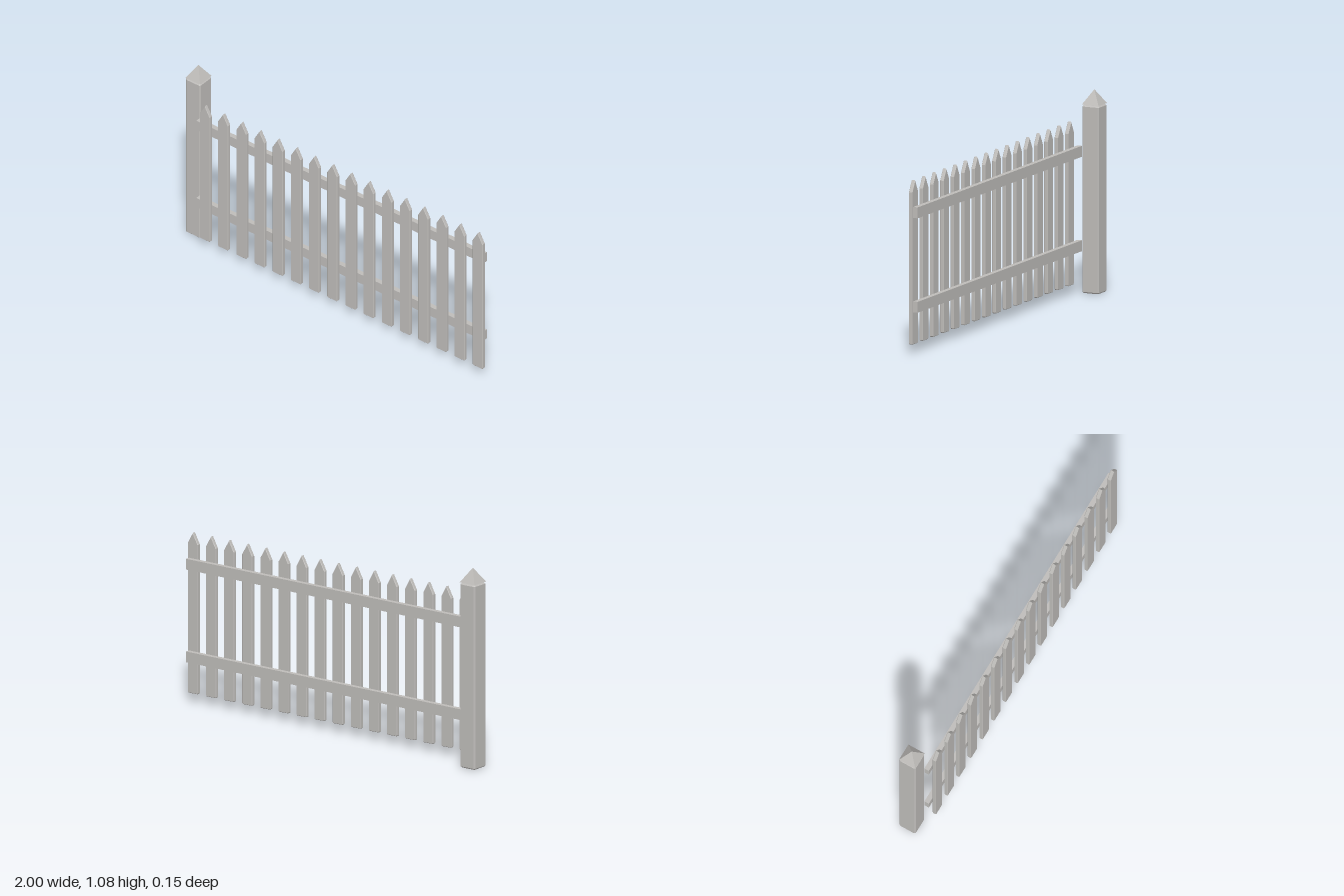
import * as THREE from 'three';

// Extruded outline with a single small chamfer on its end faces, from z = 0 to depth
function chamferedExtrude(points, depth, bevel) {
  const shape = new THREE.Shape(points.map(([x, y]) => new THREE.Vector2(x, y)));
  const geometry = new THREE.ExtrudeGeometry(shape, {
    depth: depth - 2 * bevel,
    bevelEnabled: true,
    bevelThickness: bevel,
    bevelSize: bevel,
    bevelOffset: -bevel,
    bevelSegments: 1,
  });
  return geometry.translate(0, 0, bevel);
}

export function createModel() {
  const group = new THREE.Group();
  group.name = 'picketFence';
  const wood = new THREE.MeshStandardMaterial({ color: 0xbdbbb8, flatShading: true });
  wood.name = 'weatheredGreyWood';

  function add(name, geometry, x, y, z) {
    const mesh = new THREE.Mesh(geometry, wood);
    mesh.name = name;
    mesh.position.set(x, y, z);
    group.add(mesh);
    return mesh;
  }

  // Square end post with chamfered edges
  const postX = -0.951, postZ = -0.021, h = 0.049, c = 0.007;
  const octagon = [
    [h, c - h], [h, h - c], [h - c, h], [c - h, h],
    [-h, h - c], [-h, c - h], [c - h, -h], [h - c, -h],
  ];
  const post = chamferedExtrude(octagon, 0.995, c).rotateX(-Math.PI / 2);
  add('post', post, postX, 0, postZ);

  // Pyramid cap
  const cap = new THREE.ConeGeometry(h * Math.SQRT2, 0.077, 4).rotateY(Math.PI / 4);
  add('postCap', cap, postX, 0.998 + 0.0385, postZ);

  // Horizontal rails, fixed just in front of the post
  for (const [name, y] of [['lowerRail', 0.25], ['upperRail', 0.75]]) {
    add(name, new THREE.BoxGeometry(1.896, 0.058, 0.027), 0.042, y, 0.0415);
  }

  // Pointed pickets
  const w = 0.034, k = 0.005;
  const picket = chamferedExtrude([
    [k - w, 0.05], [w - k, 0.05], [w, 0.05 + k], [w, 0.857],
    [0, 0.917], [-w, 0.857], [-w, 0.05 + k],
  ], 0.021, 0.003);
  for (let i = 0; i < 16; i++) {
    add(`picket${i + 1}`, picket, -0.834 + i * 0.12, 0, 0.0545);
  }

  return group;
}
